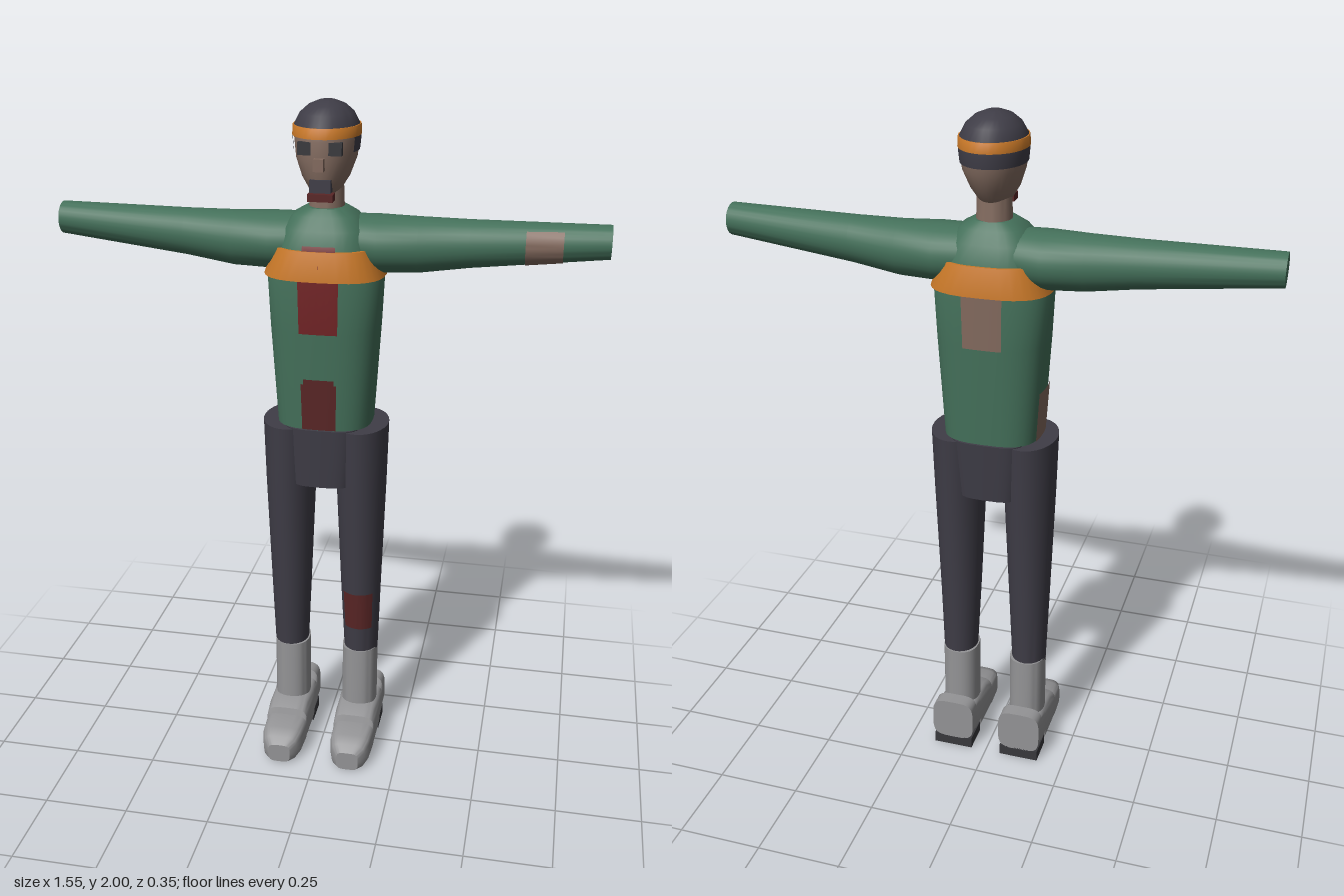
import * as THREE from 'three';
import { toCreasedNormals } from 'three/addons/utils/BufferGeometryUtils.js';

const paint = (name, color) => {
  const m = new THREE.MeshStandardMaterial({ color });
  m.name = name;
  return m;
};

const spow = (v, p) => Math.sign(v) * Math.pow(Math.abs(v), p);

// Section row at a given height along a profile of [pos, cu, cw, ru, rw]
function sectionAt(profile, y) {
  for (let i = 1; i < profile.length; i++) {
    const a = profile[i - 1], b = profile[i];
    if (y <= b[0]) {
      const t = (y - a[0]) / (b[0] - a[0]);
      return a.map((v, k) => v + (b[k] - v) * t);
    }
  }
  return profile[profile.length - 1];
}

// Map the loft axis to y, x or z (cyclic, so the winding holds)
const AXES = {
  y: (u, v, w) => [u, v, w],
  x: (u, v, w) => [v, w, u],
  z: (u, v, w) => [w, u, v],
};

// Skin of superellipse rings; can be cut to a height range and an angle range
function loft(profile, { n = 32, e = 1, axis = 'y', grow = 0, from, to, a0 = 0, a1 = Math.PI * 2, crease = 0.6 } = {}) {
  const y0 = from ?? profile[0][0], y1 = to ?? profile[profile.length - 1][0];
  const rows = [sectionAt(profile, y0), ...profile.filter(s => s[0] > y0 + 1e-4 && s[0] < y1 - 1e-4), sectionAt(profile, y1)];
  const pos = [], idx = [], put = AXES[axis], full = a1 - a0 > 6.28;
  for (const [y, cu, cw, ru, rw] of rows) {
    for (let i = 0; i <= n; i++) {
      const a = a0 + (a1 - a0) * i / n;
      pos.push(...put(cu + (ru + grow) * spow(Math.sin(a), e), y, cw + (rw + grow) * spow(Math.cos(a), e)));
    }
  }
  const w = n + 1;
  for (let j = 0; j < rows.length - 1; j++)
    for (let i = 0; i < n; i++) {
      const p = j * w + i;
      idx.push(p, p + 1, p + w + 1, p, p + w + 1, p + w);
    }
  if (full) {
    for (const j of [0, rows.length - 1]) {
      const [y, cu, cw] = rows[j], c = pos.length / 3;
      pos.push(...put(cu, y, cw));
      for (let i = 0; i < n; i++) {
        const p = j * w + i;
        if (j === 0) idx.push(c, p + 1, p); else idx.push(c, p, p + 1);
      }
    }
  }
  const g = new THREE.BufferGeometry();
  g.setAttribute('position', new THREE.Float32BufferAttribute(pos, 3));
  g.setIndex(idx);
  return toCreasedNormals(g, crease);
}

export function createModel() {
  const model = new THREE.Group();
  model.name = 'figure';
  const green = paint('jacket green', 0x44705a);
  const orange = paint('stripe orange', 0xc87828);
  const red = paint('patch red', 0x702224);
  const darkRed = paint('patch dark red', 0x5a2626);
  const tan = paint('patch tan', 0x836a5e);
  const skin = paint('skin', 0x876f63);
  const charcoal = paint('charcoal cloth', 0x3f3d47);
  const grey = paint('boot grey', 0x949496);
  const black = paint('heel black', 0x38383c);

  const add = (name, geo, mat, parent = model) => {
    const m = new THREE.Mesh(geo, mat);
    m.name = name;
    parent.add(m);
    return m;
  };
  const box = (name, size, at, mat, parent) =>
    add(name, new THREE.BoxGeometry(...size), mat, parent).position.set(...at);

  // Jacket body with chest band and patches
  const torso = [
    [1.09, 0, -0.04, 0.138, 0.115], [1.38, 0, -0.038, 0.156, 0.125], [1.53, 0, -0.038, 0.163, 0.128],
    [1.61, 0, -0.038, 0.134, 0.119], [1.66, 0, -0.038, 0.12, 0.098], [1.695, 0, -0.038, 0.09, 0.075],
    [1.715, 0, -0.038, 0.055, 0.055],
  ];
  const body = { e: 0.7 };
  add('torso', loft(torso, body), green);
  add('chestBand', loft(torso, { ...body, from: 1.53, to: 1.612, grow: 0.008, a1: 6.2831 }), orange).material.side = THREE.DoubleSide;
  const torsoPatch = (name, mat, mid, half, from, to) =>
    add(name, loft(torso, { ...body, n: 8, from, to, a0: mid - half, a1: mid + half, grow: 0.004 }), mat);
  torsoPatch('chestPatch', red, 0, 0.216, 1.38, 1.625);
  torsoPatch('bellyPatch', darkRed, 0, 0.216, 1.092, 1.23);
  torsoPatch('bellyPatchTop', darkRed, 0, 0.17, 1.23, 1.245);
  torsoPatch('backPatch', tan, Math.PI, 0.216, 1.38, 1.53);
  torsoPatch('sidePatch', tan, -1.6, 0.3, 1.092, 1.24);

  // Arms, the right one turned half round
  const arm = [
    [0.06, -0.047, 1.615, 0.09, 0.078], [0.15, -0.05, 1.613, 0.1, 0.08], [0.26, -0.053, 1.613, 0.079, 0.077],
    [0.4, -0.05, 1.623, 0.066, 0.066], [0.775, -0.043, 1.646, 0.048, 0.046],
  ];
  for (const s of [1, -1]) {
    const g = new THREE.Group();
    g.name = s > 0 ? 'leftArm' : 'rightArm';
    add('sleeve', loft(arm, { axis: 'x' }), green, g);
    if (s > 0) add('sleevePatch', loft(arm, { axis: 'x', n: 12, from: 0.55, to: 0.65, a0: 0.82, a1: 2.7, grow: 0.003 }), tan, g);
    else { g.rotation.y = Math.PI; g.position.z = -0.094; }
    model.add(g);
  }

  // Hips
  add('hips', loft([[0.905, 0, -0.038, 0.095, 0.104], [1.088, 0, -0.04, 0.115, 0.118]], { e: 0.55 }), charcoal);

  // Legs and boots
  const foot = [
    [-0.152, 0.0975, 0, 0.0675, 0.066], [-0.108, 0.0975, 0, 0.0675, 0.066], [-0.1, 0.0825, 0, 0.0575, 0.066],
    [-0.06, 0.082, 0, 0.058, 0.066], [-0.055, 0.07, 0, 0.07, 0.066], [0.02, 0.0685, 0, 0.0685, 0.066],
    [0.06, 0.06, 0, 0.06, 0.065], [0.066, 0.05, 0, 0.05, 0.065], [0.13, 0.048, 0, 0.048, 0.062],
    [0.162, 0.041, 0, 0.041, 0.052], [0.18, 0.032, 0, 0.03, 0.034],
  ];
  for (const s of [1, -1]) {
    const g = new THREE.Group();
    g.name = s > 0 ? 'leftLeg' : 'rightLeg';
    const leg = [
      [0.32, s * 0.111, -0.045, 0.052, 0.059], [0.55, s * 0.109, -0.04, 0.061, 0.074],
      [0.9, s * 0.107, -0.038, 0.074, 0.1], [1.085, s * 0.105, -0.038, 0.08, 0.114],
    ];
    add('trouserLeg', loft(leg), charcoal, g);
    if (s > 0) add('shinPatch', loft(leg, { n: 12, from: 0.415, to: 0.54, a0: -0.78, a1: 0.78, grow: 0.003 }), darkRed, g);
    add('bootShaft', loft([[0.1, s * 0.108, -0.046, 0.054, 0.063], [0.33, s * 0.108, -0.046, 0.054, 0.063]], { e: 0.85 }), grey, g);
    add('bootFoot', loft(foot, { axis: 'z', e: 0.5 }), grey, g).position.x = s * 0.108;
    box('bootHeel', [0.122, 0.034, 0.092], [s * 0.108, 0.017, -0.106], black, g);
    model.add(g);
  }

  // Neck and head
  add('neck', loft([[1.69, 0, -0.042, 0.05, 0.052], [1.79, 0, -0.042, 0.046, 0.052]]), skin);
  const head = [
    [1.748, 0, -0.025, 0.022, 0.04], [1.768, 0, -0.026, 0.045, 0.07], [1.8, 0, -0.032, 0.065, 0.087],
    [1.85, 0, -0.041, 0.083, 0.107], [1.9, 0, -0.043, 0.088, 0.111], [1.935, 0, -0.044, 0.086, 0.108],
    [1.965, 0, -0.045, 0.07, 0.089], [1.985, 0, -0.045, 0.047, 0.061], [1.996, 0, -0.045, 0.02, 0.027],
    [1.999, 0, -0.045, 0.002, 0.002],
  ];
  add('head', loft(head, { to: 1.94, crease: 0.9 }), skin);
  add('cap', loft(head, { from: 1.925, grow: 0.003, crease: 0.9 }), charcoal);
  add('headBand', loft(head, { from: 1.908, to: 1.936, grow: 0.006 }), orange);
  add('backHair', loft(head, { from: 1.868, to: 1.91, grow: 0.004, a0: 1.15, a1: 5.13 }), charcoal);

  // Face
  for (const s of [1, -1]) box(s > 0 ? 'leftEye' : 'rightEye', [0.036, 0.034, 0.02], [s * 0.042, 1.883, 0.054], black);
  box('nose', [0.028, 0.033, 0.03], [0, 1.843, 0.069], tan);
  box('mouth', [0.058, 0.035, 0.03], [0, 1.783, 0.043], charcoal);
  box('chinTuft', [0.07, 0.02, 0.036], [0, 1.752, 0.041], darkRed);
  return model;
}
